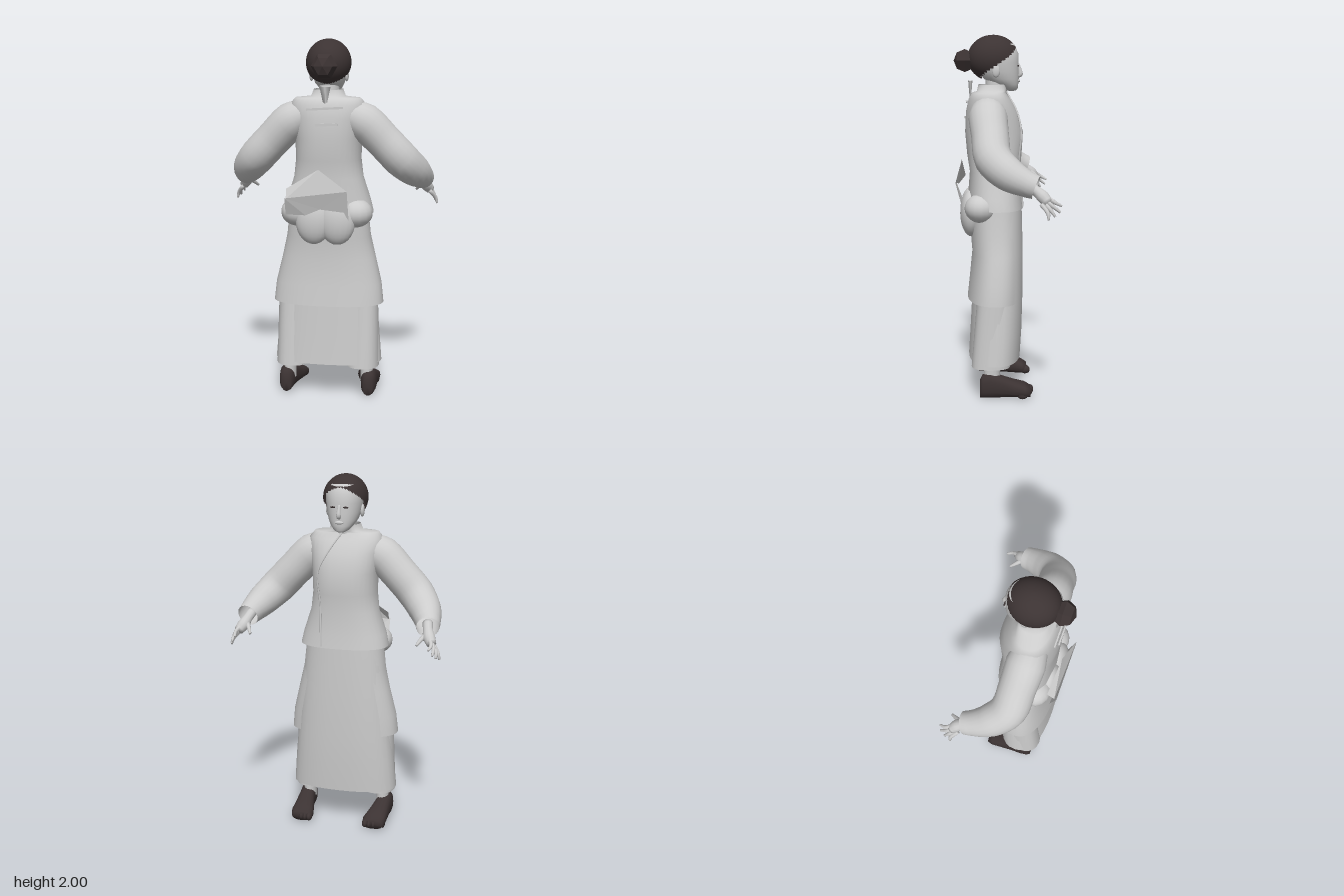
import * as THREE from 'three';

const mat = (name, color) => {
  const m = new THREE.MeshStandardMaterial({ color, side: THREE.DoubleSide });
  m.name = name;
  return m;
};

// Skin a list of rings (arrays of Vector3); wrap closes each ring, caps close the ends
function loft(rings, { wrap = true, capStart = false, capEnd = false } = {}) {
  const n = rings[0].length, pos = [], idx = [];
  rings.forEach(r => r.forEach(p => pos.push(p.x, p.y, p.z)));
  for (let i = 0; i < rings.length - 1; i++) {
    for (let j = 0; j < (wrap ? n : n - 1); j++) {
      const k = (j + 1) % n, a = i * n + j, b = i * n + k;
      idx.push(a, a + n, b, b, a + n, b + n);
    }
  }
  const cap = (row, flip) => {
    const c = new THREE.Vector3();
    rings[row].forEach(p => c.addScaledVector(p, 1 / n));
    const m = pos.length / 3;
    pos.push(c.x, c.y, c.z);
    for (let j = 0; j < n; j++) {
      const a = row * n + j, b = row * n + (j + 1) % n;
      idx.push(m, flip ? a : b, flip ? b : a);
    }
  };
  if (capStart) cap(0, true);
  if (capEnd) cap(rings.length - 1, false);
  const g = new THREE.BufferGeometry();
  g.setAttribute('position', new THREE.Float32BufferAttribute(pos, 3));
  g.setIndex(idx);
  g.computeVertexNormals();
  return g;
}

// Signed power for rounded-box cross-sections
const sp = (v, e) => Math.sign(v) * Math.abs(v) ** e;

// Horizontal ring from [y, zFront, zBack, halfWidth]; the front is toward -z
function ring([y, zf, zb, w], { n = 32, e = 0.85, from = 0, to = Math.PI * 2, x = 0, wrap = true } = {}) {
  return Array.from({ length: n }, (_, j) => {
    const t = from + (to - from) * j / (wrap ? n : n - 1);
    return new THREE.Vector3(x + w * sp(Math.cos(t), e), y, (zf + zb) / 2 + (zb - zf) / 2 * sp(Math.sin(t), e));
  });
}
const stack = (rows, opt = {}) => loft(rows.map(r => ring(r, opt)), opt);

// Limb through [x, y, z, radius] points, smoothed
function limb(points, steps = 14, n = 16, caps = {}) {
  const curve = new THREE.CatmullRomCurve3(points.map(p => new THREE.Vector3(...p)));
  const rings = [];
  for (let i = 0; i <= steps; i++) {
    const u = i / steps, f = u * (points.length - 1), k = Math.min(Math.floor(f), points.length - 2);
    const r = THREE.MathUtils.lerp(points[k][3], points[k + 1][3], f - k);
    const c = curve.getPoint(u), T = curve.getTangent(u);
    const N = new THREE.Vector3(0, 0, 1).addScaledVector(T, -T.z).normalize();
    const B = N.clone().cross(T);
    rings.push(Array.from({ length: n }, (_, j) => {
      const t = j / n * Math.PI * 2;
      return c.clone().addScaledVector(N, r * Math.cos(t)).addScaledVector(B, r * Math.sin(t));
    }));
  }
  return loft(rings, caps);
}

export function createModel() {
  const root = new THREE.Group();
  root.name = 'robedWoman';
  const cloth = mat('pale cloth and skin', 0xcccccc), dark = mat('dark hair and feet', 0x3c3333);
  const add = (name, geo, m, parent = root) => {
    const mesh = new THREE.Mesh(geo, m);
    mesh.name = name;
    parent.add(mesh);
    return mesh;
  };
  const ball = (name, m, p, s, seg = 16) => {
    const b = add(name, new THREE.SphereGeometry(1, seg, Math.ceil(seg * 0.7)), m);
    b.position.set(...p);
    b.scale.set(...s);
    return b;
  };

  // Jacket with standing collar
  add('jacket', stack([
    [1.05, -0.108, 0.19, 0.25], [1.12, -0.1, 0.2, 0.235], [1.25, -0.09, 0.19, 0.192],
    [1.35, -0.1, 0.205, 0.18], [1.47, -0.107, 0.215, 0.183], [1.58, -0.075, 0.21, 0.2],
    [1.65, -0.035, 0.195, 0.21], [1.685, -0.01, 0.175, 0.18], [1.692, -0.015, 0.15, 0.095],
    [1.73, -0.02, 0.14, 0.08]]), cloth);
  // Piping along the crossed front
  add('frontSeam', limb([[0, 1.69, -0.015, 0.005], [0.07, 1.58, -0.072, 0.005], [0.12, 1.47, -0.092, 0.005],
    [0.11, 1.3, -0.08, 0.005], [0.1, 1.06, -0.103, 0.005]], 20, 6), cloth);

  // Long skirt and the shorter overskirt, open at the front
  add('skirt', stack([
    [0.2, -0.09, 0.2, 0.303], [0.36, -0.1, 0.19, 0.29], [0.54, -0.105, 0.18, 0.272],
    [0.8, -0.107, 0.165, 0.245], [1.08, -0.1, 0.183, 0.212]]), cloth);
  add('overskirt', stack([
    [0.54, -0.1, 0.205, 0.31], [0.65, -0.1, 0.193, 0.298], [0.8, -0.1, 0.178, 0.262],
    [0.92, -0.1, 0.188, 0.235], [1.08, -0.098, 0.198, 0.218]],
  { wrap: false, from: -0.75, to: Math.PI + 0.75 }), cloth);

  // Neck and head
  add('neck', stack([[1.6, -0.01, 0.12, 0.065], [1.68, -0.015, 0.1, 0.055], [1.78, -0.03, 0.1, 0.055]], { e: 1 }), cloth);
  add('head', stack([
    [1.695, -0.065, -0.02, 0.02], [1.705, -0.077, 0.01, 0.04], [1.73, -0.08, 0.05, 0.062],
    [1.76, -0.083, 0.11, 0.08], [1.8, -0.083, 0.14, 0.092], [1.85, -0.082, 0.16, 0.1],
    [1.9, -0.08, 0.17, 0.103], [1.95, -0.058, 0.155, 0.088], [1.98, 0, 0.11, 0.05]],
  { e: 0.95, capStart: true, capEnd: true }), cloth);
  add('nose', limb([[0, 1.845, -0.078, 0.007], [0, 1.81, -0.088, 0.011], [0, 1.785, -0.092, 0.014], [0, 1.773, -0.08, 0.008]],
    8, 8, { capStart: true, capEnd: true }), cloth);
  ball('lips', cloth, [0, 1.75, -0.083], [0.025, 0.009, 0.008]);

  // Hair cap: a sphere whose lower edge rises toward the face
  const cap = new THREE.SphereGeometry(1, 40, 20), p = cap.attributes.position, v = new THREE.Vector3();
  for (let i = 0; i < p.count; i++) {
    v.fromBufferAttribute(p, i);
    const a = Math.atan2(v.x, v.z), back = (Math.cos(a) + 1) / 2;
    const th = Math.acos(THREE.MathUtils.clamp(v.y, -1, 1)) * (0.34 + 0.52 * back ** 0.8);
    p.setXYZ(i, 0.123 * Math.sin(th) * Math.sin(a), 1.873 + 0.127 * Math.cos(th),
      0.058 + 0.142 * Math.sin(th) * Math.cos(a));
  }
  cap.computeVertexNormals();
  add('hair', cap, dark);
  // Faceted bun
  const bunGeo = new THREE.SphereGeometry(0.072, 6, 4).rotateX(Math.PI / 2).scale(1, 1, 0.85).toNonIndexed();
  bunGeo.computeVertexNormals();
  add('hairBun', bunGeo, dark).position.set(0, 1.86, 0.215);

  for (const s of [1, -1]) {
    const side = s > 0 ? 'left' : 'right';
    const L = (...pts) => pts.map(([x, ...r]) => [s * x, ...r]);
    ball(side + 'Ear', cloth, [s * 0.097, 1.805, 0.045], [0.012, 0.035, 0.022]);
    ball(side + 'Eye', dark, [s * 0.036, 1.832, -0.078], [0.015, 0.005, 0.004]);

    // Wide sleeve, bent forward at the elbow
    add(side + 'Sleeve', limb(L([0.1, 1.595, 0.09, 0.085], [0.2, 1.555, 0.09, 0.105], [0.3, 1.46, 0.08, 0.1],
      [0.4, 1.355, 0.065, 0.1], [0.465, 1.285, -0.01, 0.09], [0.5, 1.24, -0.1, 0.07], [0.51, 1.222, -0.15, 0.062]), 24, 20), cloth);

    // Hand with spread fingers
    const closed = { capStart: true, capEnd: true };
    add(side + 'Palm', limb(L([0.5, 1.235, -0.1, 0.028], [0.512, 1.205, -0.15, 0.027], [0.525, 1.175, -0.185, 0.034],
      [0.545, 1.145, -0.212, 0.026]), 10, 12, closed), cloth);
    [[0.54, 1.13, -0.28], [0.56, 1.1, -0.272], [0.575, 1.08, -0.245], [0.588, 1.065, -0.21]].forEach((t, i) =>
      add(side + 'Finger' + (i + 1), limb(L([0.53 + i * 0.006, 1.175 - i * 0.012, -0.205 + i * 0.01, 0.012],
        [0.548 + i * 0.01, 1.15 - i * 0.017, -0.243 + i * 0.012, 0.011], [...t, 0.006]), 6, 8, closed), cloth));
    add(side + 'Thumb', limb(L([0.51, 1.19, -0.17, 0.016], [0.485, 1.165, -0.205, 0.012], [0.467, 1.14, -0.236, 0.007]),
      6, 8, closed), cloth);

    // Trouser leg, shin and foot
    add(side + 'TrouserLeg', stack([[0.178, -0.03, 0.185, 0.092], [0.6, -0.03, 0.15, 0.08]], { x: s * 0.2, n: 20 }), cloth);
    add(side + 'Shin', stack([[0.08, 0.025, 0.12, 0.036], [0.2, 0.03, 0.115, 0.036], [0.6, 0.0, 0.13, 0.06]],
      { x: s * 0.222, n: 14, e: 1 }), cloth);
    // Foot slices [z, x, halfWidth, height], from heel to toe
    const slices = [[0.14, 0.235, 0.025, 0.1], [0.125, 0.235, 0.04, 0.13], [0.08, 0.235, 0.046, 0.14],
      [0.02, 0.23, 0.048, 0.122], [-0.05, 0.222, 0.058, 0.095], [-0.11, 0.215, 0.066, 0.075], [-0.14, 0.213, 0.058, 0.055]];
    add(side + 'Foot', loft(slices.map(([z, x, w, h]) => Array.from({ length: 18 }, (_, j) => {
      const t = j / 18 * Math.PI * 2;
      return new THREE.Vector3(s * x + w * sp(Math.cos(t), 0.75), 0.008 + h / 2 + h / 2 * sp(Math.sin(t), 0.8), z);
    })), closed), dark);
    for (let i = 0; i < 5; i++) {
      ball(side + 'Toe' + (i + 1), dark, [s * (0.168 + i * 0.024), 0.035 - i * 0.002, -0.132 + i * i * 0.0022],
        [i ? 0.013 : 0.018, 0.024, 0.03], 10);
    }

    // Gathered jacket tail at the back
    ball(side + 'BackGather', cloth, [s * 0.065, 1.02, 0.185], [0.1, 0.13, 0.06], 20);
    ball(side + 'HipFold', cloth, [s * 0.16, 1.06, 0.13], [0.095, 0.08, 0.09]);
  }

  // Folded flap on the back: raised triangle above a hanging panel
  const sheet = (name, pts, faces) => {
    const g = new THREE.BufferGeometry();
    g.setAttribute('position', new THREE.Float32BufferAttribute(faces.flatMap(i => pts[i]), 3));
    g.computeVertexNormals();
    add(name, g, cloth);
  };
  sheet('flapTop', [[-0.21, 1.2, 0.215], [-0.03, 1.31, 0.235], [0.13, 1.2, 0.262], [-0.205, 1.15, 0.255], [0.13, 1.2, 0.268]],
    [0, 3, 1, 3, 4, 1]);
  sheet('flapPanel', [[-0.21, 1.155, 0.268], [0.13, 1.2, 0.27], [0.135, 1.03, 0.225], [0.11, 1.08, 0.238],
    [-0.02, 1.095, 0.245], [-0.1, 1.06, 0.24], [-0.21, 1.06, 0.232]],
  [0, 6, 5, 0, 5, 4, 0, 4, 1, 4, 3, 1, 3, 2, 1]);

  // Ties on the upper back
  [[0, 1.635, 0.206, 0.2, 0.012], [0.01, 1.55, 0.215, 0.12, 0.014]].forEach(([x, y, z, w, h], i) => {
    const tie = add('backTie' + (i + 1), new THREE.BoxGeometry(w, h, 0.008), cloth);
    tie.position.set(x, y, z);
    tie.rotation.z = 0.06;
  });
  add('neckTie', new THREE.ConeGeometry(0.03, 0.14, 4).rotateX(Math.PI).scale(1, 1, 0.4), cloth).position.set(0, 1.68, 0.185);

  return root;
}
